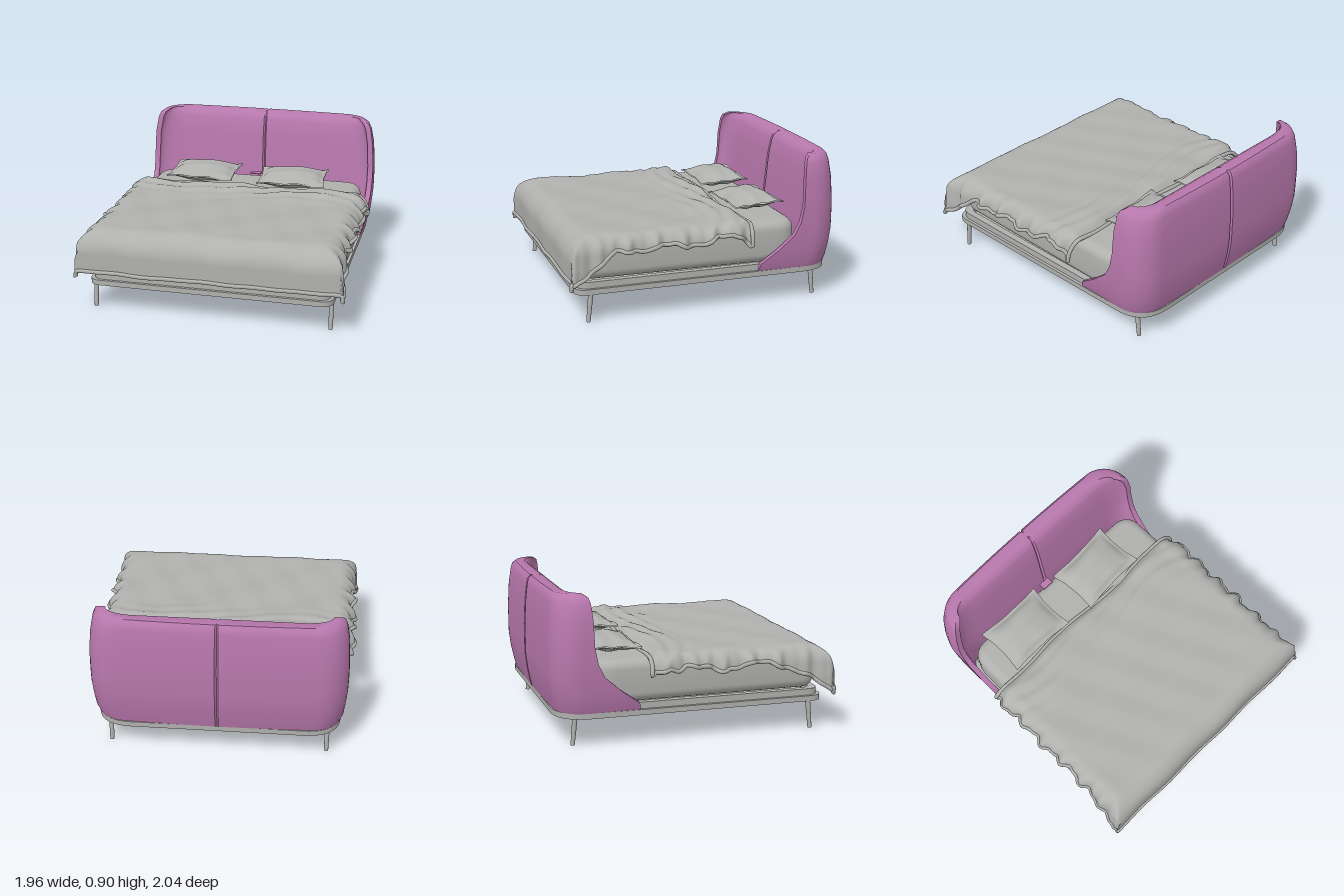
import * as THREE from 'three';
import { toCreasedNormals } from 'three/addons/utils/BufferGeometryUtils.js';

const upholstery = new THREE.MeshStandardMaterial({ color: 0xb878ad });
upholstery.name = 'mauve upholstery';
const linen = new THREE.MeshStandardMaterial({ color: 0xb0b0ae });
linen.name = 'grey linen';
const cloth = new THREE.MeshStandardMaterial({ color: 0xb0b0ae, side: THREE.DoubleSide });
cloth.name = 'grey cloth';

// Surface from fn(i, j) -> [x, y, z]; the front faces dj x di
function grid(ni, nj, fn, extra = [], wrapJ = false) {
  const pos = [], idx = [];
  const rows = wrapJ ? nj : nj + 1;
  for (let i = 0; i <= ni; i++) for (let j = 0; j < rows; j++) pos.push(...fn(i, j));
  for (let i = 0; i < ni; i++) for (let j = 0; j < nj; j++) {
    const k = (j + 1) % rows;
    const a = i * rows + j, b = a + rows, c = i * rows + k, d = c + rows;
    idx.push(a, c, b, b, c, d);
  }
  const g = new THREE.BufferGeometry();
  g.setAttribute('position', new THREE.Float32BufferAttribute(pos, 3));
  g.setIndex(idx.concat(extra));
  g.computeVertexNormals();
  return g;
}

function add(parent, name, geo, mat, x = 0, y = 0, z = 0) {
  const m = new THREE.Mesh(geo, mat);
  m.name = name;
  m.position.set(x, y, z);
  parent.add(m);
  return m;
}

// Plan outline with round corners: half width and radius at head and foot
function plan(headW, footW, back, front, headR, footR) {
  const s = new THREE.Shape();
  s.moveTo(-headW + headR, back);
  s.lineTo(headW - headR, back);
  s.quadraticCurveTo(headW, back, headW, back + headR);
  s.lineTo(footW, front - footR);
  s.quadraticCurveTo(footW, front, footW - footR, front);
  s.lineTo(-footW + footR, front);
  s.quadraticCurveTo(-footW, front, -footW, front - footR);
  s.lineTo(-headW, back + headR);
  s.quadraticCurveTo(-headW, back, -headW + headR, back);
  return s;
}

function slab(shape, y0, y1, bevel = 0) {
  const g = new THREE.ExtrudeGeometry(shape, {
    depth: y1 - y0 - 2 * bevel, curveSegments: 12, bevelEnabled: bevel > 0,
    bevelSize: bevel, bevelThickness: bevel, bevelOffset: -bevel, bevelSegments: 6,
  });
  g.rotateX(Math.PI / 2);
  g.translate(0, y1 - bevel, 0);
  return toCreasedNormals(g, 0.6);
}

// Winged headboard: rows of height, half width, back, wing front, inner face
const ROWS = [
  [0.205, 0.735, -0.865, -0.38, -0.70], [0.25, 0.75, -0.875, -0.39, -0.70],
  [0.33, 0.76, -0.89, -0.50, -0.70], [0.42, 0.768, -0.90, -0.60, -0.70],
  [0.50, 0.77, -0.90, -0.64, -0.71], [0.60, 0.77, -0.90, -0.66, -0.72],
  [0.75, 0.762, -0.892, -0.665, -0.735], [0.85, 0.745, -0.88, -0.675, -0.755],
  [0.885, 0.73, -0.872, -0.685, -0.77], [0.905, 0.70, -0.855, -0.715, -0.80],
];
const FLAT = [0, 0.006, 0.018, 0.15, 0.35, 0.55, 0.75, 0.9, 1];

function halfPath([y, w, back, front, inner], inside) {
  const v0 = inside ? inner : back, hw = inside ? w - 0.035 : w;
  const ru = 0.17, rv = Math.min(inside ? 0.1 : 0.17, front - v0 - 0.004);
  const bulge = inside ? 0 : 0.012, pts = [];
  FLAT.forEach((t, k) => {
    const groove = k === 0 ? 0.014 : k === 1 ? 0.009 : 0;
    pts.push([t * (hw - ru), y, v0 + (inside ? -groove : groove) + bulge * (t * t - 1)]);
  });
  for (let k = 1; k <= 8; k++) {
    const a = k / 8 * Math.PI / 2;
    pts.push([hw - ru + ru * Math.sin(a), y, v0 + rv * (1 - Math.cos(a))]);
  }
  for (let k = 1; k <= 4; k++) pts.push([hw, y, v0 + rv + (front - v0 - rv) * k / 4]);
  return pts;
}

function headboardGeometry() {
  const loop = [...ROWS.map(r => halfPath(r, false)), ...ROWS.map(r => halfPath(r, true)).reverse()];
  const h = loop[0].length - 1, n = loop.length, caps = [];
  for (let k = 0; k < ROWS.length - 1; k++) {
    const o = k, o2 = k + 1, i = n - 1 - k, i2 = n - 2 - k, e = 2 * h * n;
    caps.push(o, i, o2, o2, i, i2);
    caps.push(e + i, e + o, e + i2, e + i2, e + o, e + o2);
  }
  const g = grid(2 * h, n, (i, j) => {
    const [x, y, z] = loop[j][Math.abs(i - h)];
    return [i < h ? -x : x, y, z];
  }, caps, true);
  return toCreasedNormals(g, 0.8);
}

// Cloth bending over an edge: distance past it -> [outwards, downwards]
function bend(d, r) {
  if (d <= 0) return [0, 0];
  const a = Math.min(d / r, Math.PI / 2);
  return [r * Math.sin(a), r * (1 - Math.cos(a)) + Math.max(0, d - r * Math.PI / 2)];
}

// Duvet point for p across (-1..1) and q from head to foot (0..1)
function duvet(p, q) {
  const head = -0.32, footEdge = 0.67, sideEdge = 0.69;
  const v = head + q * 1.325;
  const corner = THREE.MathUtils.smoothstep(v, 0.45, 0.85);
  const hang = 0.15 + 0.18 * corner + 0.02 * Math.sin(v * 17 + p) * (1 - corner);
  const u = p * (sideEdge + hang), side = Math.sign(p);
  const du = Math.max(0, Math.abs(u) - sideEdge), dv = Math.max(0, v - footEdge);
  const [ou, yu] = bend(du, 0.1), [ov, yv] = bend(dv, 0.14);
  const drop = Math.pow(yu ** 6 + yv ** 6, 1 / 6);
  const loose = Math.min(1, du / 0.12) * (1 - 0.6 * corner);
  const ruffle = 0.014 * loose * Math.sin(v * 38 + 3 * side) + 0.008 * loose * Math.sin(v * 71);
  const headness = Math.exp(-(((v + 0.2) / 0.14) ** 2));
  const wave = 0.004 * Math.sin(u * 9 + v * 14) + 0.003 * Math.sin(u * 23 - v * 11)
    + headness * (0.016 + 0.006 * Math.sin(v * 60 + 5 * Math.sin(u * 4)));
  const lip = -0.035 * Math.max(0, 1 - q / 0.03);
  const flare = 0.03 * corner * Math.min(1, du / 0.25);
  return [
    side * (Math.min(Math.abs(u), sideEdge) + ou + ruffle + flare),
    0.526 - drop + wave * (1 - corner * 0.5) + lip + 0.006 * loose * Math.sin(v * 50),
    Math.min(v, footEdge) + ov + 0.012 * Math.sin(u * 8) * (1 - q) + 0.004 * Math.sin(u * 13) * Math.min(1, dv * 5),
  ];
}

// Pillow half: puffed middle, flat flange and pulled-out corners
function pillowHalf(up) {
  const N = 28;
  return grid(N, N, (i, j) => {
    const a = (i / N * 2 - 1) * up, b = j / N * 2 - 1;
    const ca = Math.max(0, 1 - (a / 0.88) ** 2), cb = Math.max(0, 1 - (b / 0.84) ** 2);
    const puff = Math.pow(ca * cb, 0.45);
    return [
      a * 0.228 * (0.93 + 0.07 * b * b),
      up * (0.004 + 0.048 * puff) + 0.004 * Math.sin(a * 7) * Math.abs(b) + 0.003 * Math.sin(b * 9 + a),
      b * 0.165 * (0.92 + 0.08 * a * a),
    ];
  });
}

export function createModel() {
  const root = new THREE.Group();
  root.name = 'bed';
  root.rotation.y = THREE.MathUtils.degToRad(15);
  const bed = new THREE.Group();
  bed.name = 'bedParts';
  bed.position.x = -0.045;
  root.add(bed);

  // Frame: lower rail, inset upper rail, base panel and head crossbar
  const ring = (i, w) => {
    const s = plan(0.735 - i, 0.755 - i, -0.875 + i, 0.77 - i, 0.22, 0.08);
    s.holes.push(plan(0.735 - w, 0.755 - w, -0.875 + w, 0.77 - w, 0.2, 0.06));
    return s;
  };
  add(bed, 'lowerRail', slab(ring(0, 0.05), 0.172, 0.205), linen);
  add(bed, 'upperRail', slab(ring(0.018, 0.06), 0.205, 0.245), linen);
  add(bed, 'basePanel', slab(plan(0.71, 0.725, -0.62, 0.74, 0.01, 0.06), 0.178, 0.2), linen);
  add(bed, 'headCrossbar', new THREE.BoxGeometry(1.4, 0.04, 0.03), linen, 0, 0.205, -0.66);

  // Splayed legs
  for (const s of [-1, 1]) for (const [x, z, tilt] of [[0.656, -0.765, -1], [0.736, 0.685, 1]]) {
    const leg = add(bed, 'leg', new THREE.CylinderGeometry(0.016, 0.0125, 0.19, 16), linen, s * x, 0.096, z);
    leg.rotation.x = -tilt * 0.1;
  }

  // Mattress and headboard
  add(bed, 'mattress', slab(plan(0.71, 0.71, -0.645, 0.745, 0.13, 0.1), 0.24, 0.5, 0.06), linen);
  add(bed, 'headboard', headboardGeometry(), upholstery);
  add(bed, 'fabricTab', new THREE.BoxGeometry(0.075, 0.006, 0.045), upholstery, -0.04, 0.503, -0.64);

  // Pillows
  for (const [x, z, turn] of [[-0.36, -0.49, 0], [0.255, -0.477, 0.07]]) {
    const pillow = new THREE.Group();
    pillow.name = 'pillow';
    pillow.position.set(x, 0.547, z);
    pillow.rotation.set(0.05, turn, 0);
    add(pillow, 'pillowTop', pillowHalf(1), cloth);
    add(pillow, 'pillowBottom', pillowHalf(-1), cloth);
    bed.add(pillow);
  }

  // Duvet with a rolled hem all the way round
  const N = 110;
  add(bed, 'duvet', grid(N, N, (i, j) => duvet(i / N * 2 - 1, j / N)), cloth);
  const hem = [], M = 50;
  for (let k = 0; k < M; k++) hem.push(duvet(-1 + 2 * k / M, 0));
  for (let k = 0; k < M; k++) hem.push(duvet(1, k / M));
  for (let k = 0; k < M; k++) hem.push(duvet(1 - 2 * k / M, 1));
  for (let k = 0; k < M; k++) hem.push(duvet(-1, 1 - k / M));
  const curve = new THREE.CatmullRomCurve3(hem.map(p => new THREE.Vector3(...p)), true);
  add(bed, 'duvetHem', new THREE.TubeGeometry(curve, 400, 0.013, 8, true), linen);

  const model = new THREE.Group();
  model.name = 'model';
  model.add(root);
  return model;
}
